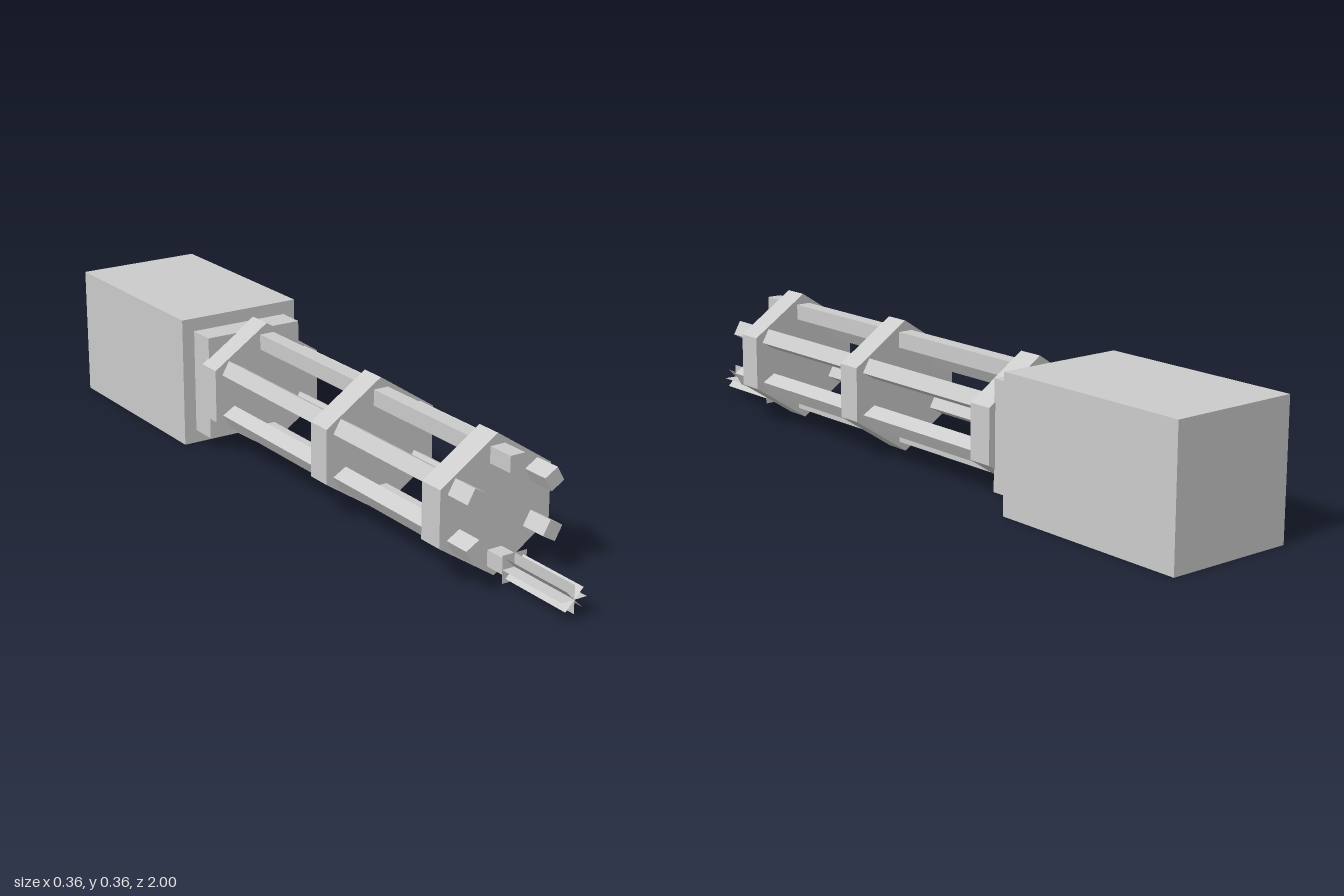
import * as THREE from 'three';

const CY = 0.1785; // height of the main axis

export function createModel() {
  const model = new THREE.Group();
  const grey = new THREE.MeshStandardMaterial({ color: 0xcccccc, flatShading: true });
  const thin = new THREE.MeshStandardMaterial({ color: 0xcccccc, flatShading: true, side: THREE.DoubleSide });

  const add = (name, geometry, x, y, z, roll = 0, material = grey) => {
    const mesh = new THREE.Mesh(geometry, material);
    mesh.name = name;
    mesh.position.set(x, y, z);
    mesh.rotation.z = roll;
    model.add(mesh);
    return mesh;
  };

  // Rear housing and the collar in front of it
  add('housing', new THREE.BoxGeometry(0.357, 0.357, 0.57), 0, CY, -0.715);
  add('collar', new THREE.BoxGeometry(0.285, 0.285, 0.08), 0, CY, -0.393);

  // Hexagonal clamp plates, points up and down
  const hexagon = new THREE.Shape([
    [0, 0.1785], [-0.161, 0.0725], [-0.161, -0.0725],
    [0, -0.1785], [0.161, -0.0725], [0.161, 0.0725],
  ].map(([x, y]) => new THREE.Vector2(x, y)));
  const plate = new THREE.ExtrudeGeometry(hexagon, { depth: 0.07, bevelEnabled: false });
  for (const z of [0.642, 0.176, -0.357]) add('clampPlate', plate, 0, CY, z);

  // Six square barrels in a ring
  const barrel = new THREE.BoxGeometry(0.042, 0.042, 1.145);
  for (let i = 0; i < 6; i++) {
    const a = i * Math.PI / 3;
    add('barrel', barrel, -Math.sin(a) * 0.129, CY + Math.cos(a) * 0.129, 0.2135, a);
  }

  // Muzzle flash on the lowest barrel: a square base and four crossed sheets
  const flashY = 0.051;
  add('flashBase', new THREE.PlaneGeometry(0.071, 0.071), 0, flashY, 0.787, 0, thin);
  const sheet = new THREE.PlaneGeometry(0.071, 0.214).rotateX(-Math.PI / 2);
  for (let i = 0; i < 4; i++) add('flashSheet', sheet, 0, flashY, 0.893, i * Math.PI / 4, thin);

  return model;
}
